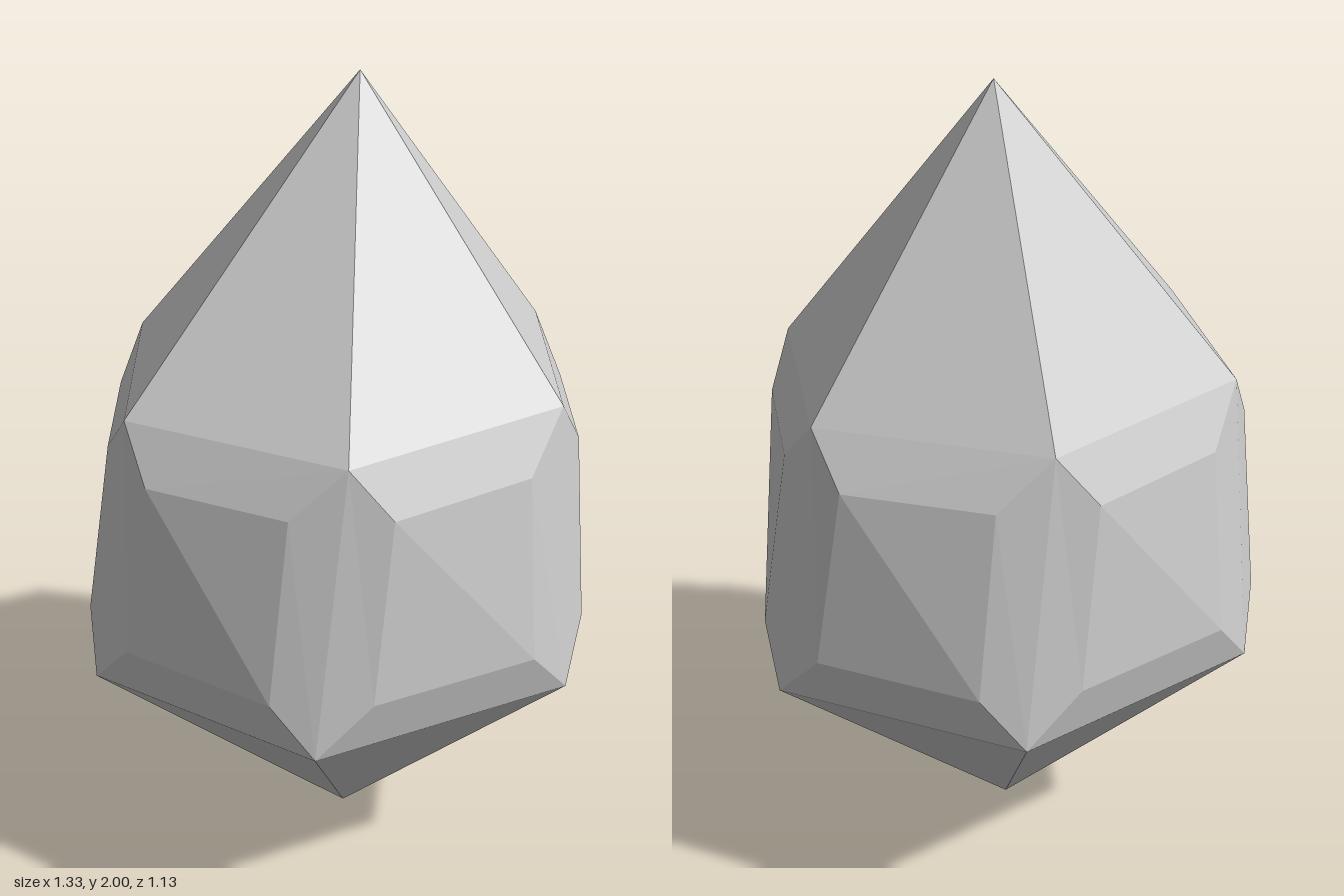
import * as THREE from 'three';

// Each ring lists half its [x, z] points; the rest are the same turned 180 degrees.
const ring = (y, half) => [1, -1].flatMap((s) => half.map(([x, z]) => new THREE.Vector3(s * x, y, s * z)));

// Flat-shaded surface from convex polygons, wound counter-clockwise from outside.
function facets(polygons) {
  const points = [];
  for (const p of polygons) {
    for (let i = 1; i < p.length - 1; i++) points.push(p[0], p[i], p[i + 1]);
  }
  const geometry = new THREE.BufferGeometry().setFromPoints(points);
  geometry.computeVertexNormals();
  return geometry;
}

export function createModel() {
  const model = new THREE.Group();
  model.name = 'crystal';
  const stone = new THREE.MeshStandardMaterial({ color: 0xcccccc, flatShading: true });
  stone.name = 'pale grey stone';

  // Tips and the two twisted girdle rings
  const base = new THREE.Vector3(0, 0, 0);
  const tip = new THREE.Vector3(0.065, 2, -0.045);
  const lower = ring(0.613, [[-0.665, 0], [-0.333, 0.537], [0.333, 0.537]]);
  const upper = ring(1.313, [[-0.574, 0.062], [-0.228, 0.493], [0.346, 0.431]]);

  // Raised panel corners, left and right of each side
  const lowLeft = ring(0.742, [[-0.625, 0.12], [-0.2, 0.567], [0.425, 0.45]]);
  const lowRight = ring(0.742, [[-0.412, 0.465], [0.22, 0.567], [0.635, 0.107]]);
  const topLeft = ring(1.19, [[-0.57, 0.165], [-0.14, 0.541], [0.43, 0.378]]);
  const topRight = ring(1.19, [[-0.347, 0.44], [0.226, 0.502], [0.575, 0.066]]);

  const point = [], crown = [], bevels = [], panels = [];
  for (let i = 0; i < 6; i++) {
    const j = (i + 1) % 6;
    const outer = [lower[i], lower[j], upper[j], upper[i]];
    const inner = [lowLeft[i], lowRight[i], topRight[i], topLeft[i]];
    point.push([base, lower[j], lower[i]]);
    crown.push([upper[i], upper[j], tip]);
    // Split along the top-left to bottom-right diagonal
    panels.push([inner[3], inner[0], inner[1], inner[2]].slice(0, 3), [inner[3], inner[1], inner[2]]);
    for (let k = 0; k < 4; k++) {
      const n = (k + 1) % 4;
      bevels.push([outer[k], outer[n], inner[n], inner[k]]);
    }
  }

  const parts = { lowerPoint: point, upperCrown: crown, sideBevels: bevels, sidePanels: panels };
  for (const [name, polygons] of Object.entries(parts)) {
    const mesh = new THREE.Mesh(facets(polygons), stone);
    mesh.name = name;
    model.add(mesh);
  }
  return model;
}
